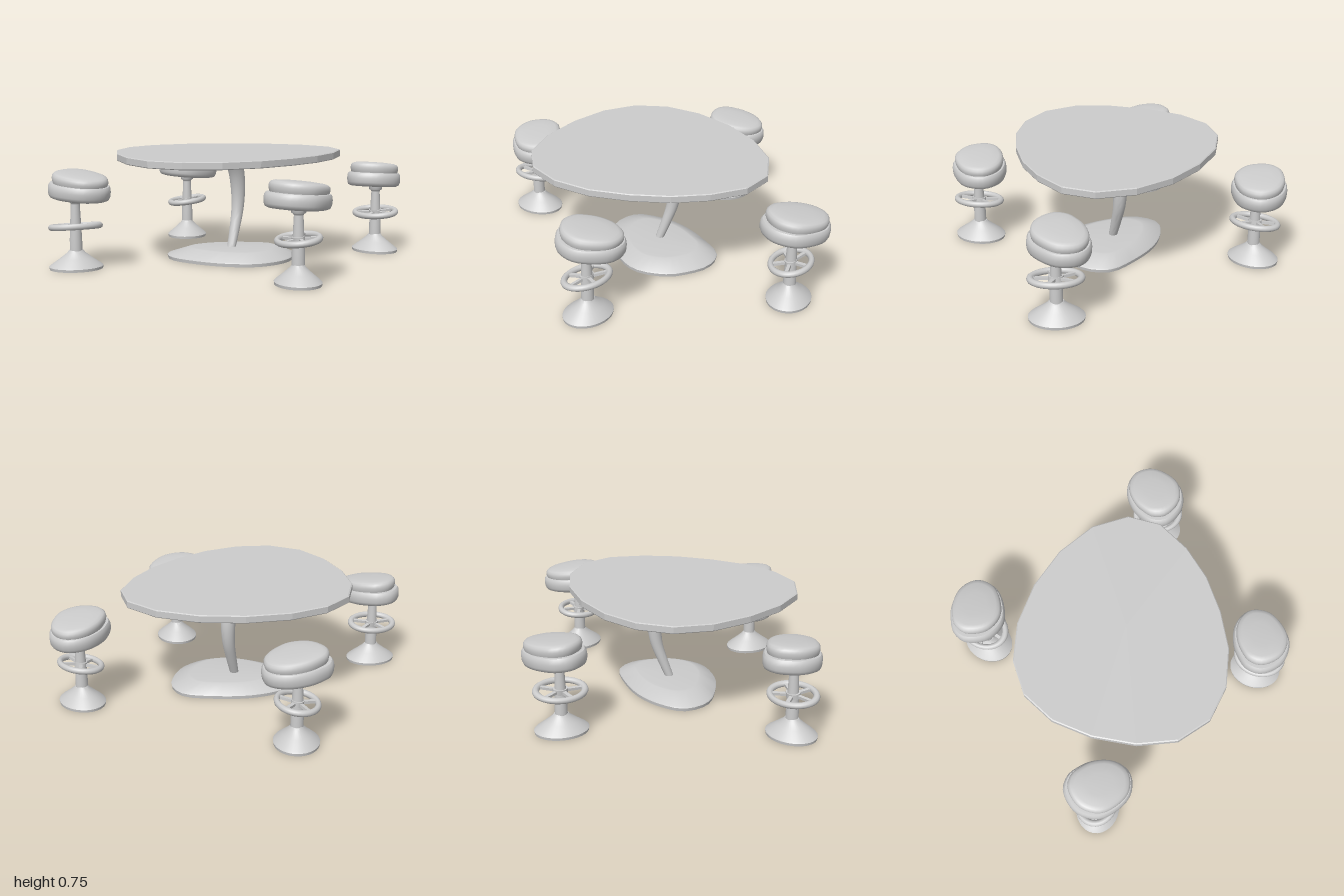
import * as THREE from 'three';
import { toCreasedNormals } from 'three/addons/utils/BufferGeometryUtils.js';

const deg = Math.PI / 180;
const material = new THREE.MeshStandardMaterial({ color: 0xcccccc });

function add(parent, name, geometry) {
  const mesh = new THREE.Mesh(geometry, material);
  mesh.name = name;
  parent.add(mesh);
  return mesh;
}

function group(parent, name) {
  const g = new THREE.Group();
  g.name = name;
  parent.add(g);
  return g;
}

// Closed smooth outline through a few [x, z] points
function smoothOutline(points, count) {
  const curve = new THREE.CatmullRomCurve3(points.map(([x, z]) => new THREE.Vector3(x, 0, z)), true);
  return curve.getSpacedPoints(count).slice(0, count).map((p) => [p.x, p.z]);
}

// Stacks scaled copies of an outline; levels are [y, scale, centreX, centreZ], bottom to top
function loft(outline, levels, crease, pivot = [0, 0]) {
  const n = outline.length, pos = [], index = [];
  for (const [y, s, cx = 0, cz = 0] of levels)
    for (const [x, z] of outline)
      pos.push(pivot[0] + (x - pivot[0]) * s + cx, y, pivot[1] + (z - pivot[1]) * s + cz);
  for (let j = 0; j < levels.length - 1; j++)
    for (let i = 0; i < n; i++) {
      const k = (i + 1) % n, a = j * n + i, b = j * n + k, c = a + n, d = b + n;
      if (levels[j][1] > 0) index.push(a, c, b);
      if (levels[j + 1][1] > 0) index.push(b, c, d);
    }
  const g = new THREE.BufferGeometry();
  g.setAttribute('position', new THREE.Float32BufferAttribute(pos, 3));
  g.setIndex(index);
  return toCreasedNormals(g, crease);
}

// Tilts an object so that the direction (x, z) rises
function tilt(object, x, z, angle) {
  object.quaternion.setFromAxisAngle(new THREE.Vector3(-z, 0, x).normalize(), angle);
}

const tableOutline = [
  [0.2, -0.73], [0.45, -0.66], [0.6, -0.49], [0.65, -0.24], [0.64, 0.01], [0.575, 0.265],
  [0.47, 0.51], [0.305, 0.715], [0.09, 0.84], [-0.16, 0.84], [-0.395, 0.715], [-0.605, 0.515],
  [-0.76, 0.285], [-0.82, 0.04], [-0.76, -0.195], [-0.6, -0.405], [-0.36, -0.58], [-0.085, -0.695],
];
const baseOutline = smoothOutline([
  [0.4, 0], [0.3, 0.2], [0.1, 0.295], [-0.12, 0.307], [-0.35, 0.25], [-0.45, 0.1],
  [-0.39, -0.06], [-0.24, -0.22], [-0.01, -0.34], [0.2, -0.393], [0.33, -0.31], [0.39, -0.16],
], 36);
const seatOutline = smoothOutline([
  [0, -0.22], [0.08, -0.215], [0.17, -0.13], [0.19, 0], [0.155, 0.13], [0.03, 0.215],
  [-0.13, 0.19], [-0.19, 0.105], [-0.19, 0.03], [-0.165, -0.07], [-0.09, -0.175],
], 36);
const circle = Array.from({ length: 20 }, (_, i) => [Math.cos(i * Math.PI / 10), Math.sin(i * Math.PI / 10)]);

function createTable(parent) {
  const table = group(parent, 'table');
  add(table, 'tableTop', loft(tableOutline, [[0.7, 0], [0.7, 0.995], [0.705, 1], [0.745, 1], [0.75, 0.99], [0.75, 0]], 0.2));
  add(table, 'tableBase', loft(baseOutline,
    [[0, 0], [0, 0.99], [0.022, 1], [0.03, 0.98], [0.078, 0.68], [0.08, 0.64], [0.08, 0]], 0.6, [0.03, -0.035]));

  // Bowed, tapering post
  const path = new THREE.CatmullRomCurve3(
    [[0.07, -0.02], [0.2, -0.07], [0.32, -0.11], [0.44, -0.123], [0.56, -0.108], [0.65, -0.073], [0.705, -0.04]]
      .map(([y, z]) => new THREE.Vector3(-0.018, y, z)));
  const levels = path.getPoints(24).map((p) => [p.y, 0.03 + 0.032 * (p.y - 0.07) / 0.635, p.x, p.z]);
  add(table, 'tablePost', loft(circle, levels, 1));
}

function createStool(parent, x, z, turn) {
  const stool = group(parent, 'stool');
  stool.position.set(x, 0, z);
  stool.rotation.y = turn * deg;

  // Oval flared foot
  const profile = [[0, 0], [0.162, 0], [0.165, 0.018], [0.155, 0.028], [0.1, 0.07], [0.055, 0.108], [0.043, 0.125], [0, 0.125]];
  const foot = add(stool, 'foot', toCreasedNormals(
    new THREE.LatheGeometry(profile.map(([r, y]) => new THREE.Vector2(r, y)), 32), 0.7));
  foot.scale.set(1.09, 1, 0.9);
  foot.rotation.y = -50 * deg;

  // Post with a collar under the seat
  const post = [[0.042, 0.11], [0.041, 0.2], [0.03, 0.43], [0.032, 0.44], [0.046, 0.448], [0.048, 0.48]];
  add(stool, 'post', new THREE.LatheGeometry(post.map(([r, y]) => new THREE.Vector2(r, y)), 20));

  // Tilted oval foot ring on spokes
  const ringTilt = group(stool, 'footRest');
  ringTilt.position.y = 0.283;
  tilt(ringTilt, 0.7, -0.7, 7 * deg);
  const oval = group(ringTilt, 'footRestWheel');
  oval.scale.set(1.09, 1, 0.9);
  oval.rotation.y = -50 * deg;
  const ring = add(oval, 'footRing', new THREE.TorusGeometry(0.145, 0.021, 10, 36));
  ring.rotation.x = Math.PI / 2;
  add(oval, 'hub', new THREE.CylinderGeometry(0.045, 0.045, 0.035, 20));
  for (let i = 0; i < 5; i++) {
    const spoke = add(oval, 'spoke', new THREE.BoxGeometry(0.12, 0.018, 0.024).translate(0.085, 0, 0));
    spoke.rotation.y = i * 72 * deg;
  }

  // Seat pan and cushion, raised toward the back
  const seat = group(stool, 'seat');
  seat.position.set(-0.013, 0.518, -0.03);
  tilt(seat, -0.4, 0.9, 4.5 * deg);
  add(seat, 'seatPan', loft(seatOutline,
    [[-0.048, 0], [-0.048, 0.86], [-0.04, 0.95], [-0.02, 0.99], [0.01, 1], [0.035, 0.985], [0.048, 0.94], [0.05, 0.85], [0.05, 0]], 0.8));
  const cushion = add(seat, 'cushion', loft(seatOutline,
    [[0.02, 0.8], [0.05, 0.87], [0.075, 0.9], [0.096, 0.885], [0.108, 0.83], [0.115, 0.72], [0.12, 0.4], [0.121, 0]], 1));
  tilt(cushion, -0.4, 0.9, 3 * deg);
}

export function createModel() {
  const model = new THREE.Group();
  model.name = 'tableWithStools';
  createTable(model);
  const stools = [[0.75, 0.56, 0], [-0.755, 0.79, -83], [-0.756, -0.68, -17], [0.775, -0.753, 23]];
  for (const [x, z, turn] of stools) createStool(model, x, z, turn);
  return model;
}
